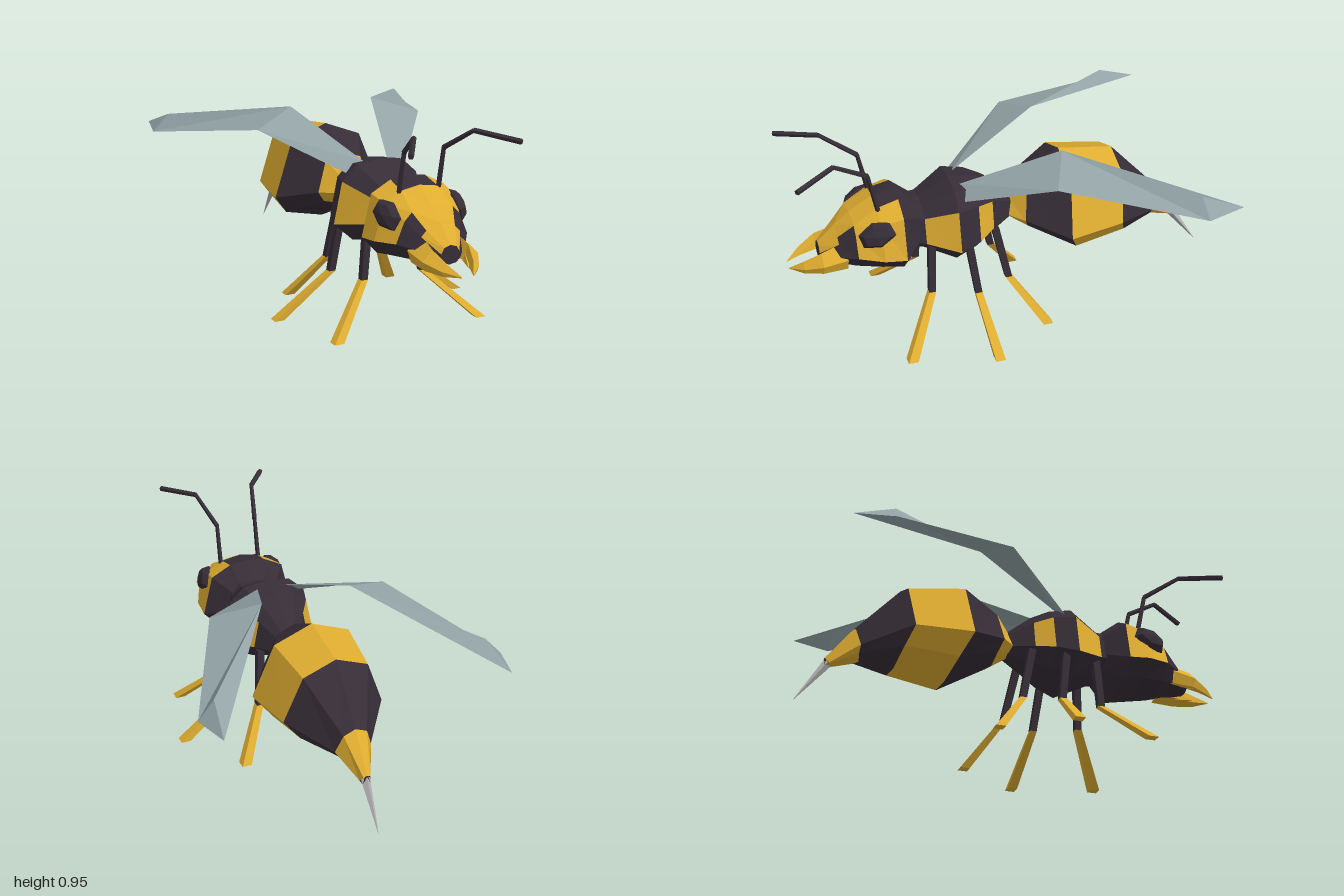
import * as THREE from 'three';

const mat = (name, color) => {
  const m = new THREE.MeshStandardMaterial({ color });
  m.name = name;
  return m;
};

export function createModel() {
  const yellow = mat('yellow', 0xdeac30);
  const dark = mat('dark', 0x362d36);
  const wingGrey = mat('wing grey', 0x93a3a6);
  wingGrey.side = THREE.DoubleSide;
  const sting = mat('sting grey', 0xb4b2b4);
  const group = new THREE.Group();
  const V = (p) => new THREE.Vector3(...p);

  const add = (name, geometry, material) => {
    const g = geometry.index ? geometry.toNonIndexed() : geometry;
    g.computeVertexNormals(); // unshared vertices give flat facets
    const mesh = new THREE.Mesh(g, material);
    mesh.name = name;
    group.add(mesh);
    return mesh;
  };

  const fromTriangles = (tris) => {
    const g = new THREE.BufferGeometry();
    g.setAttribute('position', new THREE.Float32BufferAttribute(tris.flat(2), 3));
    return g;
  };

  // Skin over mirrored half rings, front to back; each half ring runs top to bottom.
  // One letter per panel: y yellow, d dark; one string per gap between rings.
  const loft = (name, rings, colours) => {
    const tris = { y: [], d: [] };
    const mx = ([x, y, z]) => [-x, y, z];
    const put = (c, p, q, r) => tris[c].push([p, q, r], [mx(p), mx(r), mx(q)]);
    colours.forEach((row, k) => {
      const a = rings[k], b = rings[k + 1];
      for (let i = 0; i < row.length; i++) {
        put(row[i], a[i], a[i + 1], b[i + 1]);
        put(row[i], a[i], b[i + 1], b[i]);
      }
    });
    // End caps
    const first = rings[0], last = rings[rings.length - 1], n = first.length;
    for (let i = 1; i < n - 1; i++) {
      put('d', first[0], first[i + 1], first[i]);
      put('d', last[0], last[i], last[i + 1]);
    }
    const g = fromTriangles([...tris.y, ...tris.d]);
    g.addGroup(0, tris.y.length * 3, 0);
    g.addGroup(tris.y.length * 3, tris.d.length * 3, 1);
    return add(name, g, [yellow, dark]);
  };

  // Eight sided body ring: half width, top, bottom, lean of the underside
  const ring = (z, w, top, bot, lean = 0) => {
    const h = top - bot;
    return [[0, top, z], [w * 0.65, top - h * 0.15, z], [w, bot + h * 0.3, z + 0.02],
      [w * 0.72, bot + h * 0.1, z + lean * 0.6], [0, bot, z + lean]];
  };

  // Abdomen
  loft('abdomen', [
    ring(-0.03, 0.065, 0.585, 0.46), ring(-0.10, 0.14, 0.67, 0.415),
    ring(-0.28, 0.275, 0.765, 0.30, -0.045), ring(-0.54, 0.235, 0.727, 0.335, -0.02),
    ring(-0.75, 0.085, 0.50, 0.345, 0.03), ring(-0.875, 0.025, 0.34, 0.295),
  ], ['yyyy', 'dddd', 'yyyy', 'dddd', 'yyyy']);

  // Thorax with side stripes
  const chest = (z, w, top, bot) => {
    const h = top - bot;
    return [[0, top, z], [w * 0.5, top - h * 0.04, z], [w * 0.82, top - h * 0.22, z],
      [w, bot + h * 0.28, z], [w * 0.6, bot + h * 0.06, z], [0, bot, z]];
  };
  loft('thorax', [
    chest(0.44, 0.13, 0.635, 0.41), chest(0.39, 0.145, 0.635, 0.40),
    chest(0.25, 0.23, 0.715, 0.335), chest(0.15, 0.195, 0.70, 0.37),
    chest(0.07, 0.135, 0.665, 0.41), chest(-0.035, 0.065, 0.585, 0.46),
  ], ['ddddd', 'ddydd', 'ddddd', 'ddydd', 'ddddd']);

  // Head: top, crown, temple, cheek, jaw, chin
  const head = (z, pts) => pts.map(([x, y]) => [x, y, z]);
  loft('head', [
    head(0.86, [[0, 0.485], [0.03, 0.475], [0.045, 0.45], [0.05, 0.425], [0.03, 0.405], [0, 0.40]]),
    head(0.78, [[0, 0.56], [0.07, 0.535], [0.095, 0.51], [0.125, 0.46], [0.09, 0.41], [0, 0.40]]),
    head(0.71, [[0, 0.615], [0.10, 0.60], [0.135, 0.565], [0.175, 0.47], [0.12, 0.40], [0, 0.38]]),
    head(0.60, [[0, 0.68], [0.09, 0.665], [0.17, 0.62], [0.22, 0.46], [0.15, 0.39], [0, 0.365]]),
    head(0.50, [[0, 0.70], [0.085, 0.69], [0.18, 0.64], [0.225, 0.45], [0.15, 0.37], [0, 0.345]]),
    head(0.41, [[0, 0.63], [0.06, 0.625], [0.11, 0.59], [0.13, 0.49], [0.09, 0.43], [0, 0.415]]),
  ], ['yyddd', 'ydddd', 'yyydd', 'dyydd', 'ddddd']);

  // Straight limb on a four sided section, ends cut level
  const leg = (name, low, high, rLow, rHigh, material) => {
    const a = V(low), d = V(high).sub(a);
    const g = new THREE.CylinderGeometry(rHigh, rLow, 1, 4).rotateY(Math.PI / 4).translate(0, 0.5, 0);
    g.applyMatrix4(new THREE.Matrix4().makeBasis(V([1, 0, 0]), d, V([0, 0, 1])).setPosition(a));
    add(name, g, material);
  };
  // Round limb or spike between two points
  const rod = (name, from, to, r0, r1, material, sides = 4) => {
    const a = V(from), d = V(to).sub(a);
    const g = new THREE.CylinderGeometry(r1, r0, d.length(), sides).translate(0, d.length() / 2, 0);
    g.applyQuaternion(new THREE.Quaternion().setFromUnitVectors(V([0, 1, 0]), d.normalize()));
    add(name, g.translate(a.x, a.y, a.z), material);
  };

  rod('stinger', [0, 0.325, -0.855], [0, 0.125, -1], 0.022, 0.001, sting);

  // Hip, knee and foot of each leg on the left
  const legs = {
    front: [[0.125, 0.45, 0.365], [0.15, 0.21, 0.375], [0.36, 0, 0.53]],
    middle: [[0.175, 0.46, 0.205], [0.205, 0.2, 0.17], [0.465, 0, 0.15]],
    hind: [[0.11, 0.47, 0.06], [0.14, 0.21, 0.005], [0.27, 0, -0.145]],
  };
  const feelers = [[0.097, 0.63, 0.59], [0.097, 0.84, 0.635], [0.145, 0.943, 0.795], [0.262, 0.92, 0.975]];

  for (const [side, s] of [['left', 1], ['right', -1]]) {
    const m = ([x, y, z]) => [x * s, y, z];

    for (const [k, [hip, knee, foot]] of Object.entries(legs)) {
      leg(`${side} ${k} upper leg`, m(knee), m(hip), 0.022, 0.024, dark);
      leg(`${side} ${k} lower leg`, m(foot), m(knee), 0.032, 0.023, yellow);
    }

    for (let i = 0; i < 3; i++)
      rod(`${side} antenna ${i + 1}`, m(feelers[i]), m(feelers[i + 1]), 0.012, i === 2 ? 0.013 : 0.01, dark, 5);

    // Compound eye
    const eye = new THREE.SphereGeometry(1, 6, 4).rotateZ(Math.PI / 2).scale(0.042, 0.062, 0.09);
    eye.rotateX(0.3).rotateY(-0.25 * s).rotateZ(0.3 * s).translate(0.168 * s, 0.575, 0.62);
    add(`${side} eye`, eye, dark);

    // Mandible: tapering hook with an inner tooth
    const hook = [[0.095, 0.45, 0.75, 0.06], [0.1, 0.43, 0.86, 0.045], [0.07, 0.405, 0.94, 0.026], [0.028, 0.387, 1, 0.002]];
    const sect = hook.map(([x, y, z, r]) => [[x - r * 0.3, y + r, z], [x - r * 0.8, y - r * 0.5, z],
      [x + r * 0.5, y - r * 0.9, z], [x + r * 0.8, y, z]].map(m));
    const tris = [];
    for (let k = 0; k < 3; k++) for (let i = 0; i < 4; i++) {
      const j = (i + 1) % 4, a = sect[k], b = sect[k + 1];
      const quad = [[a[i], a[j], b[j]], [a[i], b[j], b[i]]];
      // Panels wind outward on either side
      for (const [p, q, r] of quad) tris.push(s > 0 ? [p, q, r] : [p, r, q]);
    }
    add(`${side} mandible`, fromTriangles(tris), yellow);
    rod(`${side} mandible tooth`, m([0.085, 0.415, 0.86]), m([0.045, 0.4, 0.93]), 0.025, 0.001, yellow);

    // Wing: folded sheet, root panel then long blade
    const rootIn = [0.06, 0.7, 0.21], rootOut = [0.145, 0.655, 0.215], bend = [0.21, 0.88, -0.22],
      edge = [0.42, 0.81, -0.13], ridge = [0.62, 0.787, -0.72], corner = [0.695, 0.706, -0.73], tip = [0.65, 0.715, -0.91];
    const sheet = [[rootIn, rootOut, edge], [rootIn, edge, bend], [bend, edge, corner],
      [bend, corner, ridge], [ridge, corner, tip], [bend, ridge, tip]];
    add(`${side} wing`, fromTriangles(sheet.map(([a, b, c]) => (s > 0 ? [a, b, c] : [a, c, b]).map(m))), wingGrey);
  }
  return group;
}
